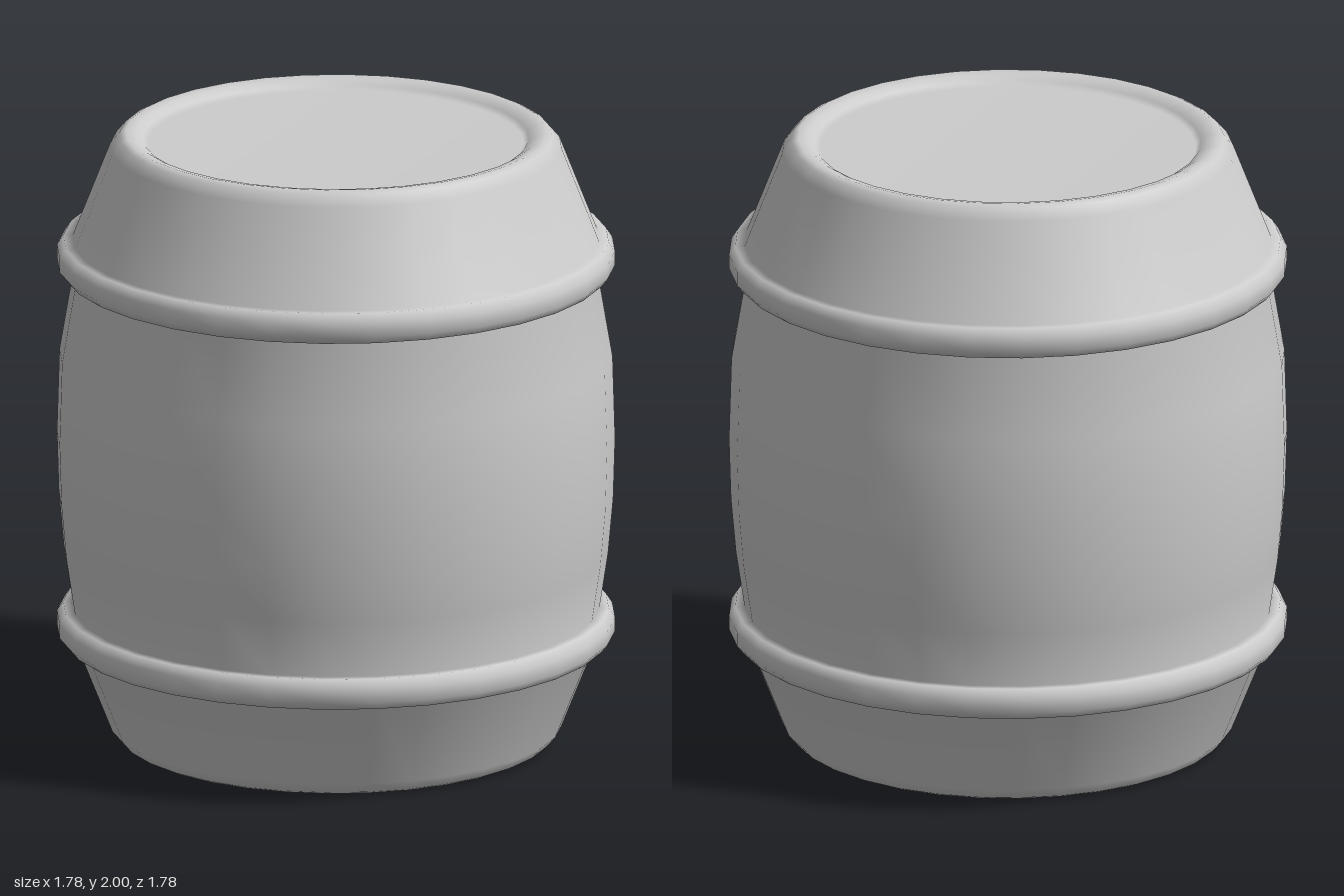
import * as THREE from 'three';

const SIDES = 32;

// Rounded hoop profile rising from y, [radius, height]
const hoop = (y) => [
  [0.835, y], [0.87, y], [0.89, y + 0.025], [0.89, y + 0.07], [0.87, y + 0.1], [0.84, y + 0.1],
];

// Slightly recessed lid and rounded rim, from the lid centre outward, [radius, depth]
const lidAndRim = [
  [0, 0.035], [0.6, 0.035], [0.615, 0.02], [0.64, 0.006], [0.67, 0], [0.69, 0.01], [0.72, 0.045],
];

export function createModel() {
  const group = new THREE.Group();
  group.name = 'barrel';

  // Closed profile from the bottom lid up to the top lid
  const profile = [
    ...lidAndRim,
    ...hoop(0.335),
    [0.868, 0.62], [0.884, 0.8], [0.89, 1], [0.882, 1.27], // bulging side
    ...hoop(1.547),
    ...lidAndRim.map(([r, d]) => [r, 2 - d]).reverse(),
  ].map(([r, y]) => new THREE.Vector2(r, y));

  // Shell with hoops and lids, turned as one smooth surface
  const shell = new THREE.Mesh(
    new THREE.LatheGeometry(profile, SIDES),
    new THREE.MeshStandardMaterial({ color: 0xcccccc })
  );
  shell.name = 'hoopedShell';
  group.add(shell);
  return group;
}
